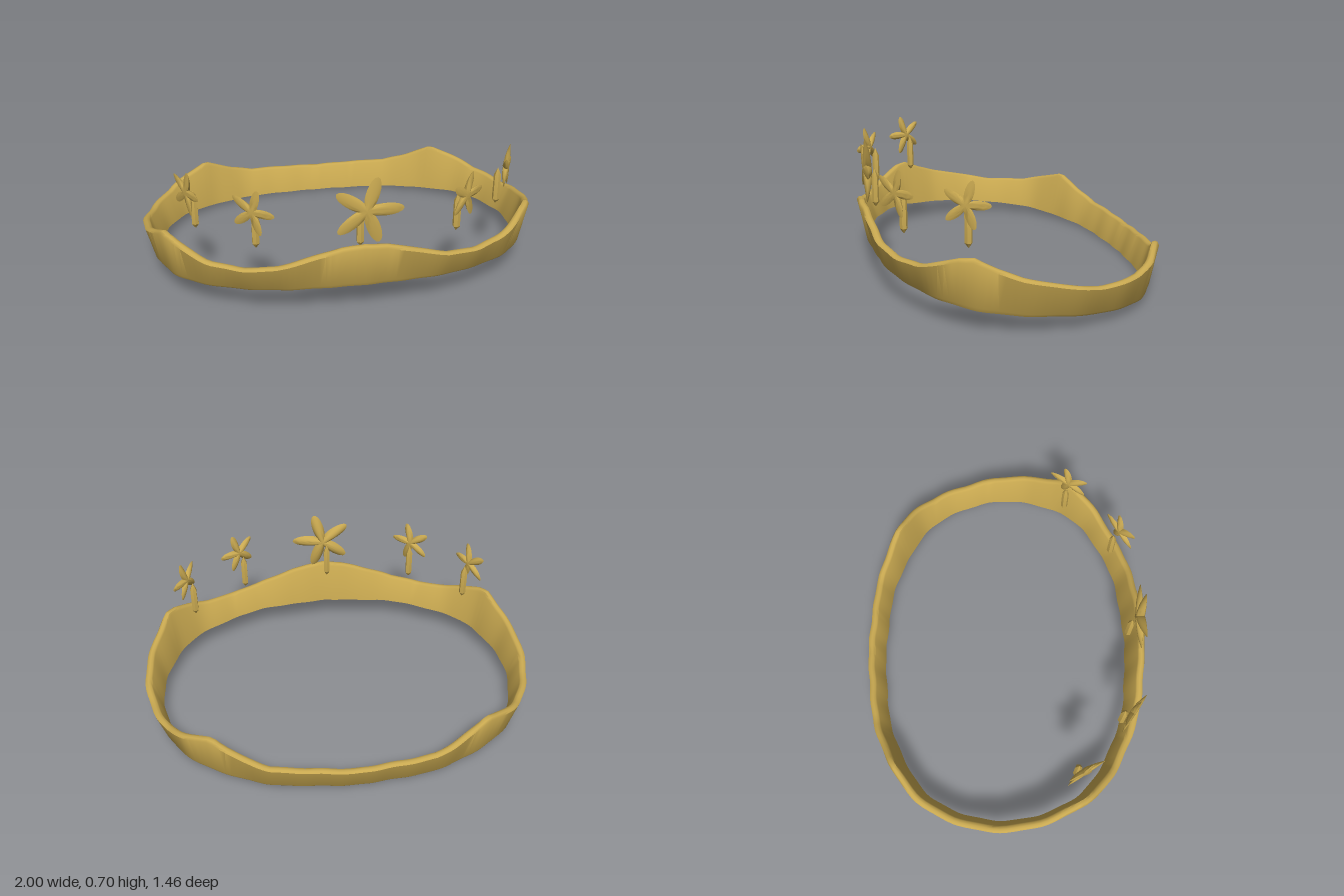
import * as THREE from 'three';
import { toCreasedNormals, mergeVertices } from 'three/addons/utils/BufferGeometryUtils.js';

const RAD = Math.PI / 180;
const gold = new THREE.MeshStandardMaterial({ color: 0xc8a850 });
gold.name = 'gold';

// Edge heights by degrees away from the front centre: [angle, y]
const TOP = [[0, 0.39], [8, 0.378], [15, 0.355], [23, 0.32], [30, 0.29], [41, 0.268], [51, 0.277], [59, 0.32],
  [64, 0.347], [68, 0.354], [74, 0.31], [80, 0.275], [90, 0.235], [101, 0.197], [114, 0.202],
  [122, 0.235], [131, 0.275], [141, 0.2], [150, 0.16], [180, 0.14]];
const BOTTOM = [[0, 0.16], [30, 0.15], [45, 0.135], [60, 0.12], [68, 0.105], [80, 0.09], [90, 0.08],
  [101, 0.06], [114, 0.045], [131, 0.025], [150, 0.012], [180, 0.004]];

function heightAt(table, deg) {
  const d = deg > 180 ? 360 - deg : deg;
  const i = Math.max(1, table.findIndex(([a]) => a >= d));
  const [a0, y0] = table[i - 1], [a1, y1] = table[i];
  return y0 + (y1 - y0) * (d - a0) / (a1 - a0);
}

// Slightly hammered, squarish oval of the band's outer top edge
function outline(a) {
  const n = 2.3;
  const base = (Math.abs(Math.sin(a)) ** n + Math.abs(Math.cos(a) / 0.732) ** n) ** (-1 / n);
  const r = base * (0.995 + 0.004 * Math.cos(12 * a) + 0.003 * Math.sin(27 * a + 1));
  return new THREE.Vector2(r * Math.sin(a), r * Math.cos(a));
}

function quadGrid(positions, rows, cols, wrapRows, wrapCols) {
  const index = [];
  for (let i = 0; i < (wrapRows ? rows : rows - 1); i++) {
    for (let j = 0; j < (wrapCols ? cols : cols - 1); j++) {
      const i1 = (i + 1) % rows, j1 = (j + 1) % cols;
      const a = i * cols + j, b = i1 * cols + j, c = i1 * cols + j1, d = i * cols + j1;
      index.push(a, b, c, a, c, d);
    }
  }
  const g = new THREE.BufferGeometry();
  g.setAttribute('position', new THREE.Float32BufferAttribute(positions, 3));
  g.setIndex(index);
  return g;
}

// Flared band: a thin cross-section [inset, height fraction] swept round the oval
function bandGeometry() {
  const section = [[0.047, 0], [0.038, 0.08], [0, 0.93], [0.007, 0.985], [0.018, 1],
    [0.03, 0.985], [0.037, 0.93], [0.075, 0.08], [0.078, 0]];
  const steps = 180, pos = [];
  for (let i = 0; i < steps; i++) {
    const deg = i * 360 / steps, a = deg * RAD;
    const p = outline(a), t = outline(a + 0.03).sub(outline(a - 0.03)).normalize();
    const lo = heightAt(BOTTOM, deg), hi = heightAt(TOP, deg);
    for (const [inset, v] of section) {
      pos.push(p.x + t.y * inset, lo + (hi - lo) * v, p.y - t.x * inset);
    }
  }
  return toCreasedNormals(quadGrid(pos, steps, section.length, true, true), 45 * RAD);
}

// Five rounded arms, shallow in front and domed behind
function starGeometry(radius, front, back) {
  const around = 80, rings = 7, pos = [];
  for (let i = 0; i < around; i++) {
    const a = i * 2 * Math.PI / around;
    const phi = ((i + 8) % 16 - 8) * 2 * Math.PI / around;
    const c = Math.cos(phi), s = Math.sin(phi);
    const r = radius * 4 * c / (4 * c * c + 29 * s * s);
    for (let j = -rings; j <= rings; j++) {
      const q = Math.sin((1 - Math.abs(j) / rings) * Math.PI / 2);
      const z = (1 - q * q) * (j < 0 ? -back : front);
      pos.push(r * q * Math.cos(a + 2 * RAD), r * q * Math.sin(a + 2 * RAD), z);
    }
  }
  // Rows run from the back centre, over the rim, to the front centre
  for (let i = 0; i < around; i++) {
    for (let j = 0; j <= 2 * rings; j++) {
      const k = (i * (2 * rings + 1) + j) * 3, u = Math.abs(j - rings) / rings;
      const q = Math.sin((1 - u) * Math.PI / 2), a = i * 2 * Math.PI / around + 2 * RAD;
      const rim = Math.hypot(pos[(i * (2 * rings + 1) + rings) * 3], pos[(i * (2 * rings + 1) + rings) * 3 + 1]);
      const w = Math.cos(u * Math.PI / 2);
      pos[k] = rim * w * Math.cos(a);
      pos[k + 1] = rim * w * Math.sin(a);
      pos[k + 2] = (1 - w * w) * (j < rings ? -back : front);
    }
  }
  const g = mergeVertices(quadGrid(pos, around, 2 * rings + 1, true, false), 1e-5);
  return toCreasedNormals(g, 50 * RAD);
}

// Slim stem with a pointed foot
function stemGeometry() {
  const profile = [[0, 0.345], [0.018, 0.37], [0.018, 0.5], [0, 0.54]].map(([x, y]) => new THREE.Vector2(x, y));
  return toCreasedNormals(new THREE.LatheGeometry(profile, 6), 30 * RAD);
}

export function createModel() {
  const model = new THREE.Group();
  model.name = 'tiara';
  const add = (name, geometry, parent = model) => {
    const mesh = new THREE.Mesh(geometry, gold);
    mesh.name = name;
    parent.add(mesh);
    return mesh;
  };

  add('band', bandGeometry());

  // Stars on stems: star centre, turn outward, size, stem position
  const stars = [
    ['centre', 0.01, 0.545, 0.695, 0, 0.168, -0.01, 0.645],
    ['leftFront', 0.49, 0.545, 0.62, 36, 0.115, 0.46, 0.58],
    ['rightFront', -0.49, 0.545, 0.62, -36, 0.115, -0.475, 0.58],
    ['leftSide', 0.775, 0.55, 0.365, 61, 0.113, 0.735, 0.345],
    ['rightSide', -0.772, 0.545, 0.37, -60, 0.113, -0.737, 0.345],
  ];
  for (const [name, x, y, z, turn, size, sx, sz] of stars) {
    const group = new THREE.Group();
    group.name = name + 'Ornament';
    model.add(group);
    const star = add(name + 'Star', starGeometry(size, size * 0.06, size * 0.2), group);
    star.position.set(x, y, z);
    star.rotation.y = turn * RAD;
    add(name + 'Stem', stemGeometry(), group).position.set(sx, 0, sz);
  }
  return model;
}
